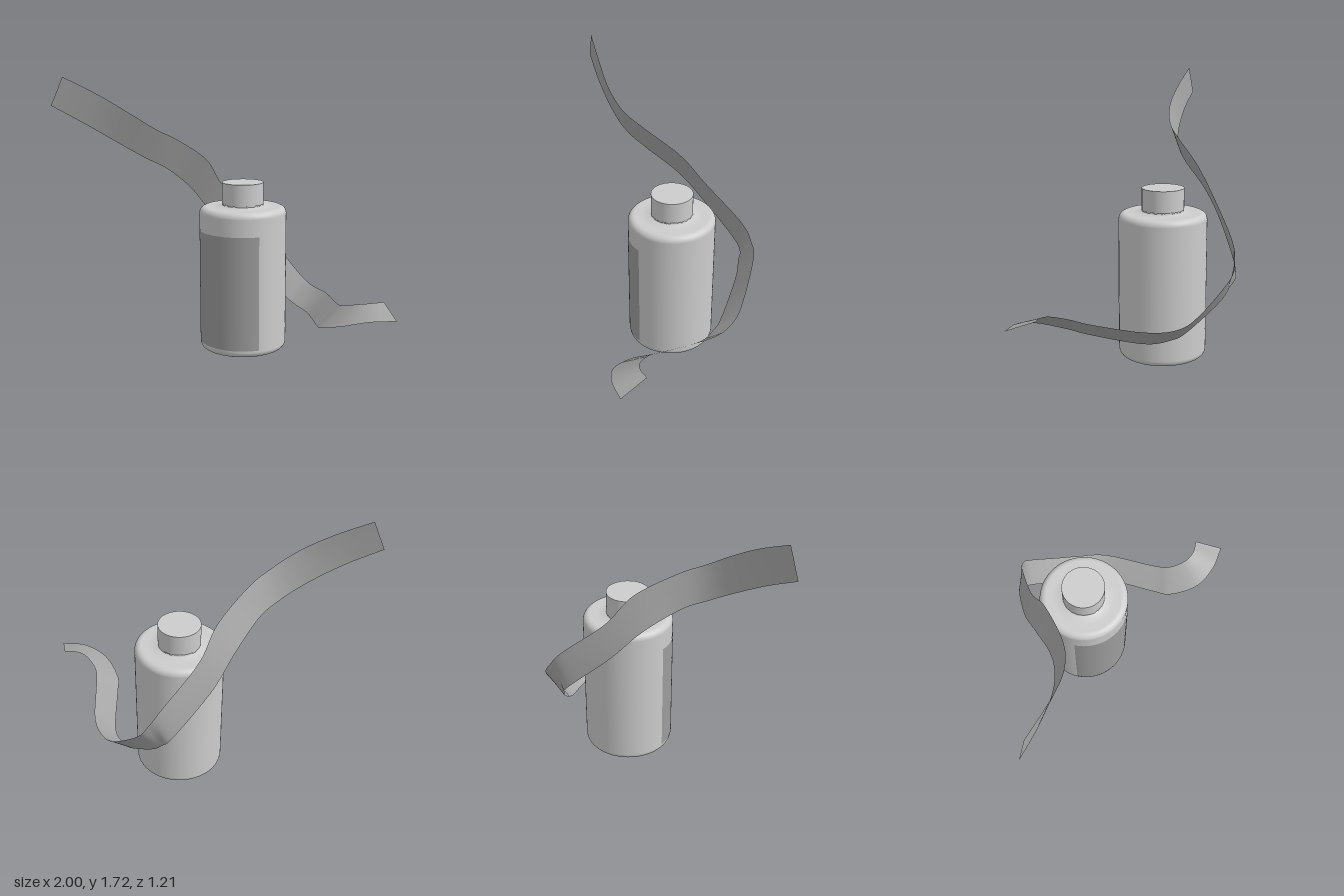
import * as THREE from 'three';

const CX = -0.08, CZ = -0.085, R = 0.272;

const mat = (name, color, side = THREE.FrontSide) => {
  const m = new THREE.MeshStandardMaterial({ color, side });
  m.name = name;
  return m;
};

function addMesh(parent, name, geometry, material) {
  const mesh = new THREE.Mesh(geometry, material);
  mesh.name = name;
  parent.add(mesh);
  return mesh;
}

// Strip of quads stretched between two edge curves
function ribbonGeometry(edgeA, edgeB, segments) {
  const position = [], index = [];
  for (let i = 0; i <= segments; i++) {
    const a = edgeA.getPoint(i / segments), b = edgeB.getPoint(i / segments);
    for (let j = 0; j <= 4; j++) position.push(...a.clone().lerp(b, j / 4).toArray());
    if (i === segments) break;
    for (let j = 0; j < 4; j++) {
      const p = i * 5 + j, q = p + 5;
      index.push(p, p + 1, q, p + 1, q + 1, q);
    }
  }
  const g = new THREE.BufferGeometry();
  g.setAttribute('position', new THREE.Float32BufferAttribute(position, 3));
  g.setIndex(index);
  g.computeVertexNormals();
  return g;
}

const curve = (pts) => new THREE.CatmullRomCurve3(pts.map((p) => new THREE.Vector3(...p)), false, 'catmullrom', 0.5);

export function createModel() {
  const model = new THREE.Group();
  model.name = 'bottleWithRibbon';
  const shell = mat('light grey', 0xcccccc);
  const paper = mat('label grey', 0x9c9c9c, THREE.DoubleSide);
  const cloth = mat('ribbon grey', 0xa6a6a6, THREE.DoubleSide);

  const bottle = new THREE.Group();
  bottle.name = 'bottle';
  bottle.position.set(CX, 0, CZ);
  model.add(bottle);

  // Body: recessed base, rounded rims and a flat shoulder, softly shaded
  const profile = [[0, 0.025], [0.12, 0.022], [0.19, 0.008], [0.225, 0]];
  const rim = (y, from) => {
    for (let i = 0; i <= 6; i++) {
      const t = from + (i / 6) * Math.PI / 2;
      profile.push([R - 0.04 + 0.04 * Math.cos(t), y + 0.04 * Math.sin(t)]);
    }
  };
  rim(0.041, -Math.PI / 2);
  rim(0.872, 0);
  profile.push([0.19, 0.911], [0.13, 0.914], [0.13, 0.93]);
  addMesh(bottle, 'body', new THREE.LatheGeometry(profile.map((p) => new THREE.Vector2(...p)), 64), shell);

  // Neck with a flat top
  const neck = addMesh(bottle, 'neck', new THREE.CylinderGeometry(0.13, 0.13, 0.14, 64), shell);
  neck.position.y = 0.992;

  // Label wrapped around the front
  const half = 0.88;
  const label = addMesh(bottle, 'label',
    new THREE.CylinderGeometry(R + 0.002, R + 0.002, 0.715, 40, 1, true, -half, half * 2), paper);
  label.position.y = 0.4075;

  // Ribbon sweeping from high on the right, behind the bottle, to low on the left
  const upper = [
    [-0.93, 1.715, 0.575], [-0.74, 1.61, 0.484], [-0.58, 1.5, 0.393], [-0.47, 1.4, 0.28], [-0.405, 1.325, 0.14],
    [-0.35, 1.18, -0.1], [-0.335, 1, -0.265], [-0.25, 0.79, -0.505], [-0.2, 0.68, -0.58],
    [-0.14, 0.59, -0.604], [0.06, 0.41, -0.565], [0.19, 0.335, -0.519], [0.35, 0.326, -0.41],
    [0.537, 0.348, -0.16], [0.618, 0.372, -0.064], [0.725, 0.405, -0.02], [0.805, 0.42, -0.032], [0.87, 0.425, -0.08],
  ];
  const lower = [
    [-1, 1.545, 0.605], [-0.82, 1.433, 0.507], [-0.66, 1.315, 0.393], [-0.555, 1.223, 0.28], [-0.49, 1.145, 0.143],
    [-0.457, 1, -0.07], [-0.42, 0.82, -0.25], [-0.31, 0.58, -0.487], [-0.24, 0.49, -0.502],
    [-0.16, 0.41, -0.495], [0.04, 0.26, -0.435], [0.136, 0.22, -0.396], [0.27, 0.205, -0.305],
    [0.457, 0.232, -0.037], [0.537, 0.257, 0.07], [0.7, 0.313, 0.147], [0.86, 0.357, 0.125], [0.997, 0.363, 0.048],
  ];
  addMesh(model, 'ribbon', ribbonGeometry(curve(upper), curve(lower), 120), cloth);

  return model;
}
